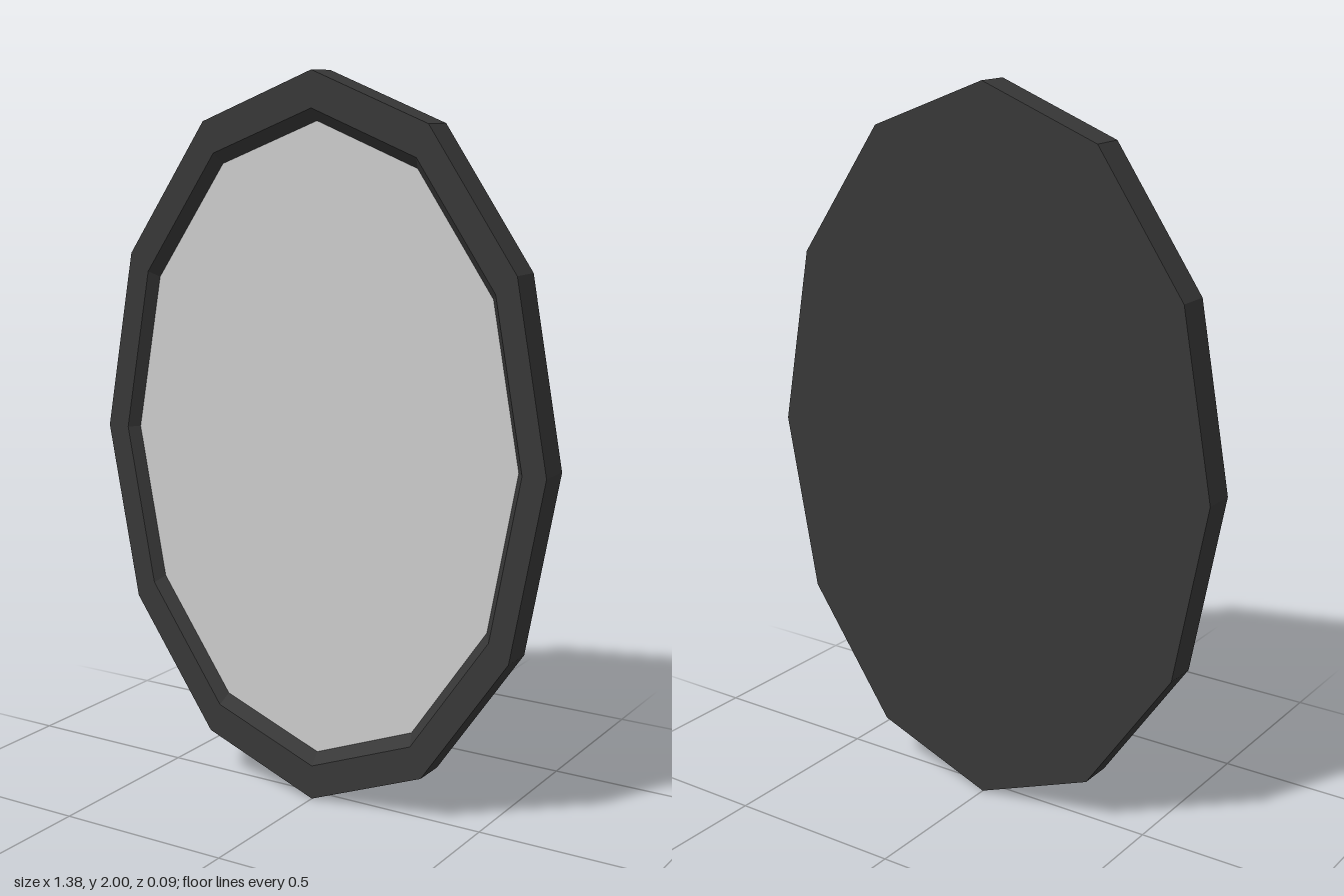
import * as THREE from 'three';

const SIDES = 12;        // corners of the oval
const ASPECT = 0.69;     // width over height
const HALF_DEPTH = 0.047;
const GLASS_R = 0.87;
const GLASS_Z = 0.018;

export function createModel() {
  const model = new THREE.Group();
  model.name = 'ovalMirror';

  // Frame: closed back, straight rim, flat front border and a bevel down to the glass
  const profile = [
    [0, -HALF_DEPTH],
    [1, -HALF_DEPTH],
    [1, HALF_DEPTH],
    [0.903, HALF_DEPTH],
    [GLASS_R, GLASS_Z],
  ].map(([r, z]) => new THREE.Vector2(r, z));
  const frameGeometry = new THREE.LatheGeometry(profile, SIDES);
  frameGeometry.rotateX(Math.PI / 2).scale(ASPECT, 1, 1);
  const frame = new THREE.Mesh(
    frameGeometry,
    new THREE.MeshStandardMaterial({ color: 0x383838, flatShading: true })
  );
  frame.name = 'frame';

  // Mirror pane, recessed behind the front border
  const glassGeometry = new THREE.CircleGeometry(GLASS_R, SIDES, Math.PI / 2);
  glassGeometry.scale(ASPECT, 1, 1).translate(0, 0, GLASS_Z);
  const glass = new THREE.Mesh(
    glassGeometry,
    new THREE.MeshStandardMaterial({ color: 0xcccccc, flatShading: true })
  );
  glass.name = 'mirrorPane';

  model.add(frame, glass);
  model.position.y = 1;

  const root = new THREE.Group();
  root.name = 'mirror';
  root.add(model);
  return root;
}
